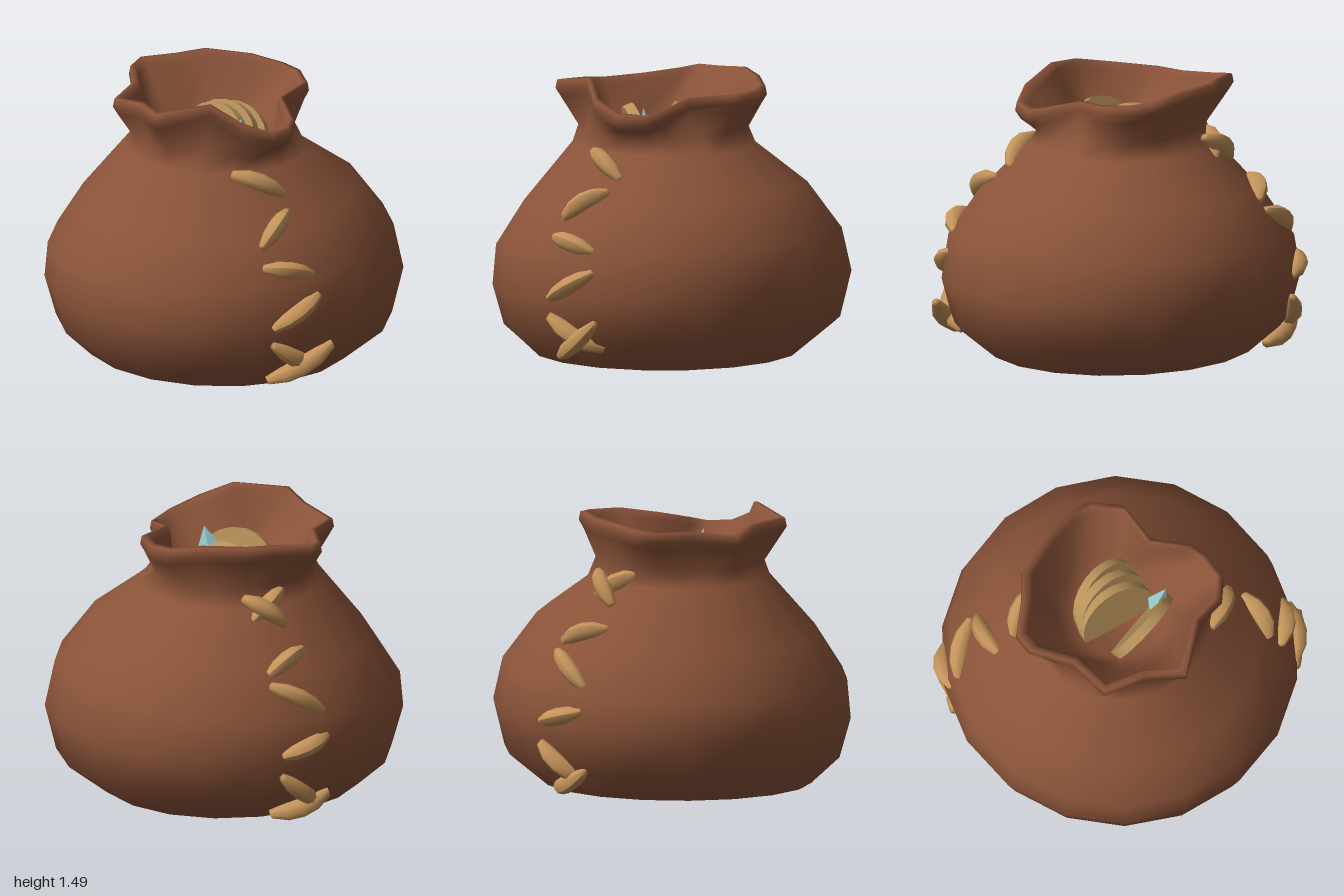
import * as THREE from 'three';

const mat = (name, color, side = THREE.FrontSide) => {
  const m = new THREE.MeshStandardMaterial({ color, side });
  m.name = name;
  return m;
};

// Skin a list of rings (arrays of Vector3, all the same length) with smooth normals
function loft(rings) {
  const n = rings[0].length, index = [];
  for (let i = 0; i < rings.length - 1; i++) {
    for (let j = 0; j < n; j++) {
      const a = i * n + j, b = i * n + (j + 1) % n, c = a + n, d = b + n;
      index.push(a, c, b, b, c, d);
    }
  }
  const geo = new THREE.BufferGeometry().setFromPoints(rings.flat());
  geo.setIndex(index);
  geo.computeVertexNormals();
  return geo;
}

const SEG = 18, START = -115 * Math.PI / 180;

// Ring of the sack: height, radius, centre x, tilts along x and z
const ring = (y, r, cx = 0, tiltX = 0, tiltZ = 0) => Array.from({ length: SEG }, (_, j) => {
  const a = START + j / SEG * Math.PI * 2;
  const x = Math.cos(a) * r, z = Math.sin(a) * r;
  return new THREE.Vector3(x + cx, y + tiltX * x + tiltZ * z, z);
});

// Wavy mouth outline: x, height, z
const mouth = [
  [-.22, 1.43, -.58], [-.03, 1.44, -.53], [.13, 1.45, -.51], [.33, 1.44, -.35], [.46, 1.41, -.22], [.5, 1.40, -.1],
  [.46, 1.39, .08], [.26, 1.37, .2], [.22, 1.32, .42], [.16, 1.30, .49], [.03, 1.31, .56], [-.13, 1.37, .53],
  [-.27, 1.46, .4], [-.55, 1.42, .29], [-.53, 1.41, .07], [-.58, 1.38, -.15], [-.40, 1.40, -.3], [-.31, 1.41, -.52],
].map(p => new THREE.Vector3(...p));

const mouthRing = (scale, dy) => mouth.map(p =>
  new THREE.Vector3((p.x + .05) * scale - .05, p.y + dy, p.z * scale));
const mix = (a, b, t) => a.map((p, j) => p.clone().lerp(b[j], t));

// Stitch line profile of the sack: height, radius
const profile = [[.03, .71], [.18, .89], [.41, .94], [.63, .915], [.87, .76], [1.15, .47], [1.3, .43]];
function depthAt(y) {
  const i = Math.max(0, profile.findIndex((p, k) => k < profile.length - 1 && y <= profile[k + 1][0]));
  const [y0, r0] = profile[i], [y1, r1] = profile[i + 1];
  return r0 + (r1 - r0) * (y - y0) / (y1 - y0);
}

// Lens-shaped thread, bowed so its ends sink into the cloth
function stitchGeometry() {
  const pts = [[0, -1], [.022, -.98], [.043, -.5], [.048, 0], [.043, .5], [.022, .98], [0, 1]]
    .map(p => new THREE.Vector2(...p));
  const geo = new THREE.LatheGeometry(pts, 8);
  geo.rotateZ(-Math.PI / 2);
  const pos = geo.attributes.position;
  for (let i = 0; i < pos.count; i++) {
    pos.setZ(i, pos.getZ(i) * 1.15 - .03 * pos.getX(i) ** 2);
  }
  geo.computeVertexNormals();
  return geo;
}

function stitch(geo, material, side, x0, y0, x1, y1, lift = 0) {
  const p0 = new THREE.Vector3(x0, y0, side * depthAt(y0));
  const p1 = new THREE.Vector3(x1, y1, side * depthAt(y1));
  const ym = (y0 + y1) / 2;
  const slope = (depthAt(ym + .1) - depthAt(ym - .1)) / .2;
  const dir = p1.clone().sub(p0), half = dir.length() / 2;
  dir.normalize();
  const across = new THREE.Vector3(0, -slope, side).cross(dir).normalize();
  const out = dir.clone().cross(across);
  const mesh = new THREE.Mesh(geo, material);
  mesh.name = side > 0 ? 'frontStitch' : 'backStitch';
  mesh.quaternion.setFromRotationMatrix(new THREE.Matrix4().makeBasis(dir, across, out));
  mesh.position.set((x0 + x1) / 2, ym, side * depthAt(ym)).addScaledVector(out, .008 + lift);
  mesh.scale.set(half, 1, 1);
  return mesh;
}

export function createModel() {
  const group = new THREE.Group();
  group.name = 'coinPouch';
  const leather = mat('brown leather', 0x8a5339);
  const thread = mat('tan thread', 0xc4935a);
  const gold = mat('dull gold', 0xb8925a);
  const crystal = mat('pale blue crystal', 0x93c6ca);
  const add = (geo, material, name) => {
    const mesh = new THREE.Mesh(geo, material);
    mesh.name = name;
    group.add(mesh);
    return mesh;
  };

  // Sack: body, pinched neck, thick rolled lip and inner funnel
  const base = ring(.025, .71, -.04, -.012, -.02);
  const neck = mix(ring(1.21, .44, -.05), mouthRing(.85, -.17), .3);
  const inner = mix(ring(1.2, .34, -.05), mouthRing(.66, -.17), .3);
  add(loft([
    base,
    ring(.18, .89, 0, .015, -.02),
    ring(.41, .95, 0, .035, -.02),
    ring(.63, .915, -.02, .06),
    ring(.87, .75, -.04, .08),
    ring(1.13, .485, -.05, -.02, -.01),
    neck,
    mouthRing(.95, -.055),
    mouthRing(1, -.01),
    mouthRing(.985, .035),
    mouthRing(.93, .04),
    mouthRing(.89, 0),
    inner,
    ring(1.12, .24, -.05),
    ring(1.1, 0, -.05),
  ]), leather, 'sack');
  add(loft([ring(.02, 0), base]), leather, 'sackBase');

  // Seam stitches: x0, y0, x1, y1, lift
  const threadGeo = stitchGeometry();
  const front = [
    [-.18, 1.14, .08, 1.02], [-.15, .82, .06, .96], [-.17, .72, .11, .66],
    [-.15, .39, .13, .55], [-.15, .29, .15, .12], [-.14, .08, .18, .29, .03],
  ];
  const back = [
    [-.13, 1.21, .1, 1.08], [.13, 1.19, -.07, 1.04, .03], [-.12, .95, .13, .87],
    [.14, .82, -.13, .66], [-.14, .53, .14, .45], [.14, .33, -.1, .14], [-.15, .2, .14, .08, .02],
  ];
  front.forEach(s => group.add(stitch(threadGeo, thread, 1, ...s)));
  back.forEach(s => group.add(stitch(threadGeo, thread, -1, ...s)));

  // Coins leaning in the mouth: centre, then face direction
  const coinGeo = new THREE.CylinderGeometry(.22, .22, .055, 20);
  const up = new THREE.Vector3(0, 1, 0);
  [
    [-.12, 1.13, .1, .66, .36, -.66],
    [-.06, 1.13, -.02, -.85, .36, .4],
    [.0, 1.13, -.04, -.75, .38, .5],
    [.06, 1.11, -.06, -.68, .42, .6],
  ].forEach(([x, y, z, nx, ny, nz]) => {
    const coin = add(coinGeo, gold, 'coin');
    coin.position.set(x, y, z);
    coin.quaternion.setFromUnitVectors(up, new THREE.Vector3(nx, ny, nz).normalize());
  });

  // Faceted gem beside the coins
  const gem = add(new THREE.OctahedronGeometry(1), crystal, 'gem');
  gem.scale.set(.09, .16, .06);
  gem.position.set(-.03, 1.19, .2);
  gem.rotation.set(.2, -.6, -.15);

  return group;
}
